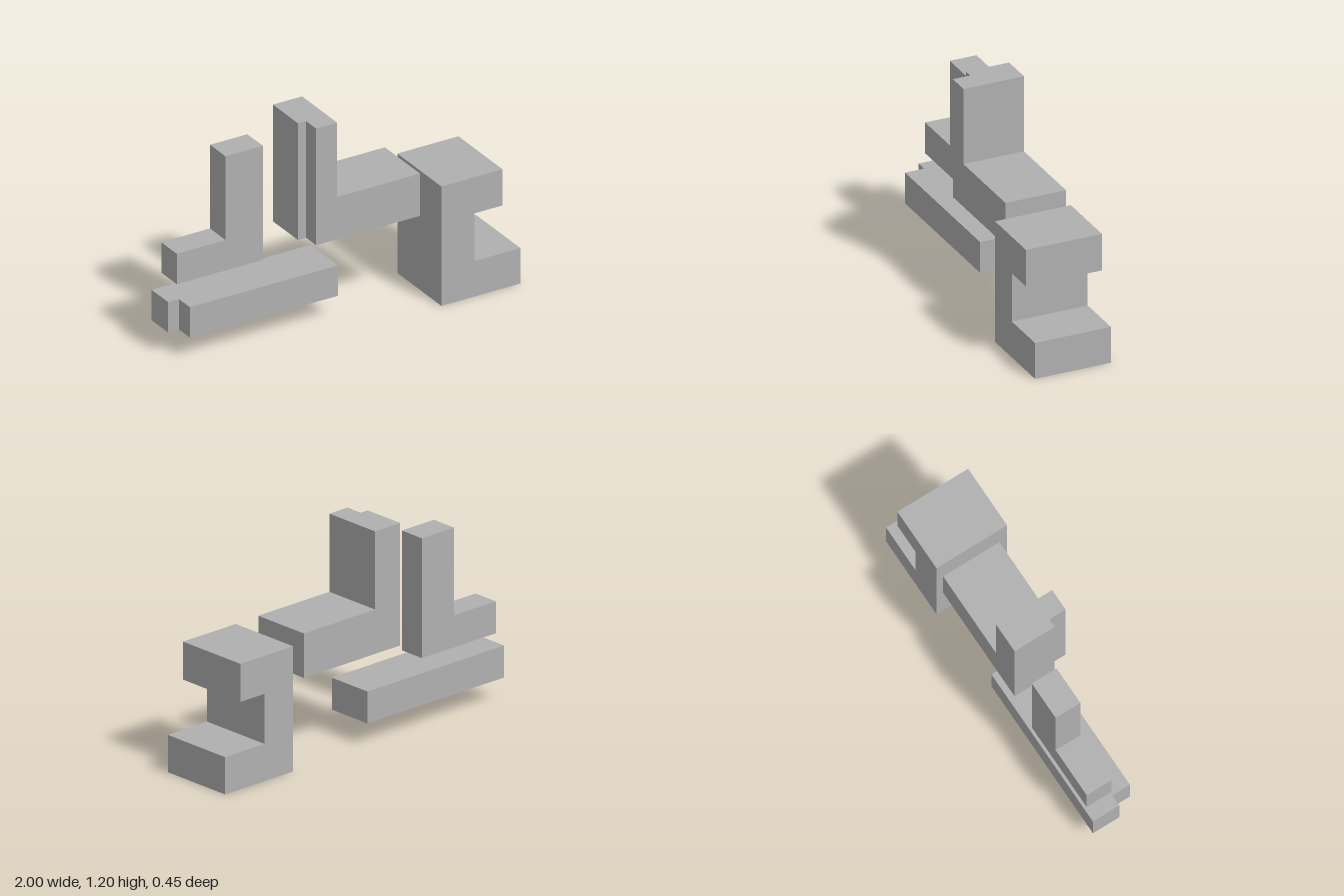
import * as THREE from 'three';

const grey = new THREE.MeshStandardMaterial({ color: 0xb0b0b0 });
grey.name = 'grey';

// Extrudes a closed outline of [a, b] points along z by the given depth
function extrude(points, depth) {
  const shape = new THREE.Shape(points.map(([a, b]) => new THREE.Vector2(a, b)));
  return new THREE.ExtrudeGeometry(shape, { depth, bevelEnabled: false });
}

// Block with a front (x, y) outline between two z planes
function frontBlock(name, points, zBack, zFront) {
  const mesh = new THREE.Mesh(extrude(points, zFront - zBack).translate(0, 0, zBack), grey);
  mesh.name = name;
  return mesh;
}

// Block with a plan (x, z) outline between two heights
function planBlock(name, points, yLow, yHigh) {
  const geometry = extrude(points.map(([x, z]) => [x, -z]), yHigh - yLow);
  const mesh = new THREE.Mesh(geometry.rotateX(-Math.PI / 2).translate(0, yLow, 0), grey);
  mesh.name = name;
  return mesh;
}

// L outline of the middle block, starting at a given left edge
const middleOutline = (left) => [
  [left, 0.51], [0.44, 0.51], [0.44, 0.76], [-0.07, 0.76], [-0.07, 1.2], [left, 1.2],
];

export function createModel() {
  const model = new THREE.Group();
  model.name = 'angularBlocks';

  // Thin L with its foot pointing to -x
  model.add(frontBlock('footedBlock', [
    [-0.94, 0.395], [-0.41, 0.395], [-0.41, 1.07],
    [-0.64, 1.07], [-0.64, 0.575], [-0.94, 0.575],
  ], -0.22, -0.065));

  // Long low beam, notched at one front corner
  model.add(planBlock('notchedBeam', [
    [-1, -0.22], [-1, -0.055], [-0.933, -0.055],
    [-0.933, 0.055], [-0.02, 0.055], [-0.02, -0.22],
  ], 0.13, 0.31));

  // Middle L, stepped in along its front left edge
  const middle = new THREE.Group();
  middle.name = 'steppedBlock';
  middle.add(
    frontBlock('steppedBlockBack', middleOutline(-0.25), -0.224, 0.027),
    frontBlock('steppedBlockFront', middleOutline(-0.2), 0.027, 0.128),
  );
  model.add(middle);

  // C block opening to +x
  model.add(frontBlock('openBlock', [
    [0.513, 0], [1, 0], [1, 0.21], [0.718, 0.21],
    [0.718, 0.492], [0.89, 0.492], [0.89, 0.706], [0.513, 0.706],
  ], -0.218, 0.224));

  return model;
}
